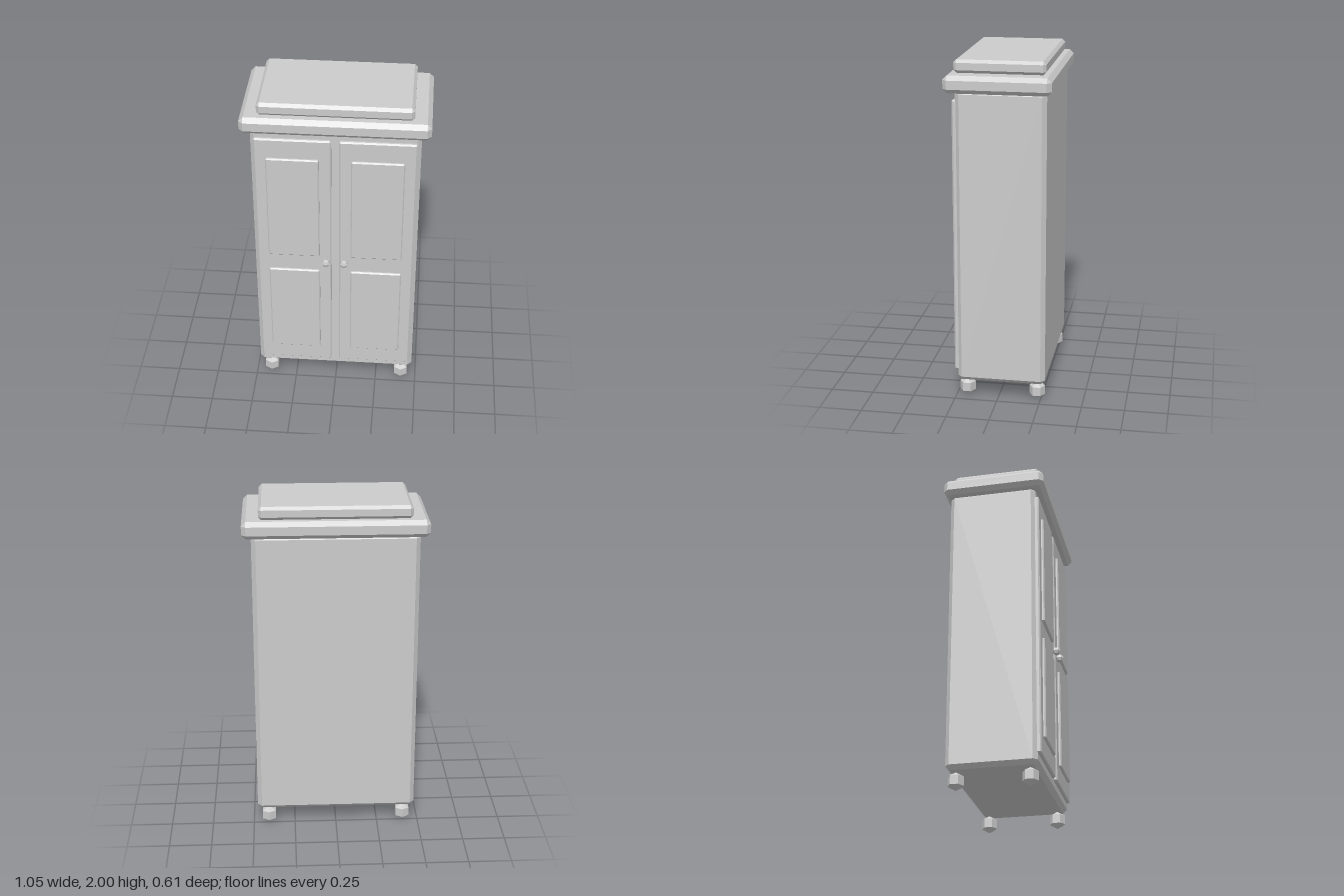
import * as THREE from 'three';
import { ConvexGeometry } from 'three/addons/geometries/ConvexGeometry.js';

const material = new THREE.MeshStandardMaterial({ color: 0xcccccc, flatShading: true });

// Box between two corners with every edge and corner chamfered by c
function chamferBox(name, [x0, y0, z0], [x1, y1, z1], c) {
  const half = [(x1 - x0) / 2, (y1 - y0) / 2, (z1 - z0) / 2];
  const points = [];
  for (const sx of [-1, 1]) for (const sy of [-1, 1]) for (const sz of [-1, 1]) {
    for (let axis = 0; axis < 3; axis++) {
      const [hx, hy, hz] = half.map((h, i) => (i === axis ? h : h - c));
      points.push(new THREE.Vector3(sx * hx, sy * hy, sz * hz));
    }
  }
  const mesh = new THREE.Mesh(new ConvexGeometry(points), material);
  mesh.name = name;
  mesh.position.set((x0 + x1) / 2, (y0 + y1) / 2, (z0 + z1) / 2);
  return mesh;
}

// Faceted six-sided ball with vertices pointing front and back
function ball(name, radius, rows, x, y, z) {
  const geometry = new THREE.SphereGeometry(radius, 6, rows).rotateY(Math.PI / 2);
  const mesh = new THREE.Mesh(geometry, material);
  mesh.name = name;
  mesh.position.set(x, y, z);
  return mesh;
}

export function createModel() {
  const model = new THREE.Group();
  model.name = 'wardrobe';

  // Carcass, cornice and raised top
  model.add(chamferBox('body', [-0.475, 0.105, -0.278], [0.475, 1.84, 0.238], 0.025));
  model.add(chamferBox('cornice', [-0.527, 1.825, -0.31], [0.527, 1.925, 0.295], 0.025));
  model.add(chamferBox('topPanel', [-0.432, 1.925, -0.267], [0.432, 2, 0.251], 0.017));

  for (const side of [-1, 1]) {
    const label = side > 0 ? 'left' : 'right';
    const span = (inner, outer) => (side > 0 ? [inner, outer] : [-outer, -inner]);

    // Door with two raised panels and a knob
    const door = new THREE.Group();
    door.name = label + 'Door';
    const [d0, d1] = span(0.022, 0.455);
    const [p0, p1] = span(0.09, 0.39);
    door.add(
      chamferBox('doorSlab', [d0, 0.167, 0.215], [d1, 1.78, 0.257], 0.008),
      chamferBox('upperPanel', [p0, 0.985, 0.235], [p1, 1.66, 0.272], 0.007),
      chamferBox('lowerPanel', [p0, 0.275, 0.235], [p1, 0.88, 0.272], 0.007),
      ball('knob', 0.025, 4, side * 0.053, 0.947, 0.279)
    );
    model.add(door);

    // Feet
    model.add(ball(label + 'FrontFoot', 0.053, 3, side * 0.407, 0.053, 0.188));
    model.add(ball(label + 'BackFoot', 0.053, 3, side * 0.407, 0.053, -0.228));
  }
  return model;
}
